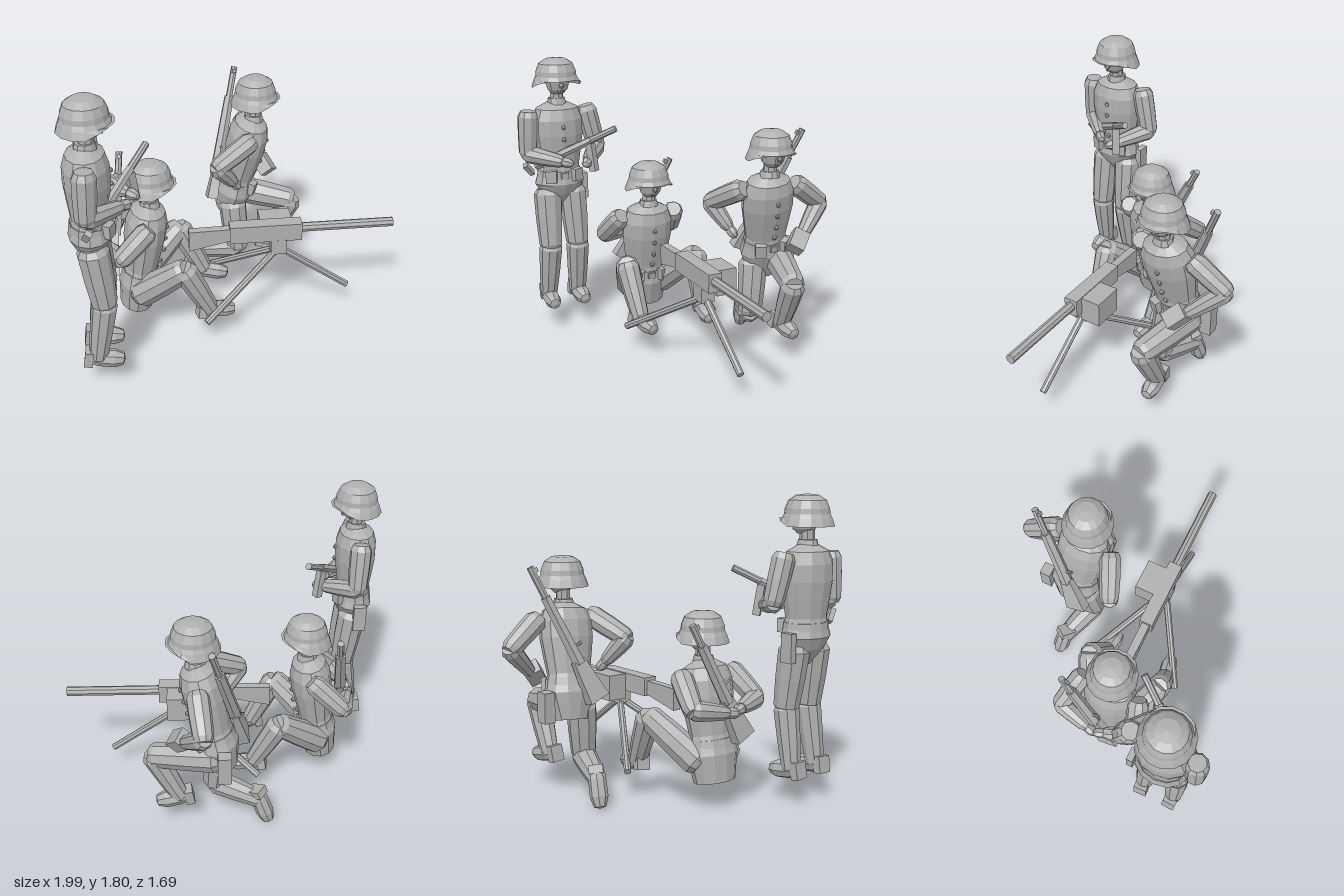
import * as THREE from 'three';

const clay = new THREE.MeshStandardMaterial({ color: 0xb0b0b0, flatShading: true, side: THREE.DoubleSide });
clay.name = 'clay grey';

const V = (p) => new THREE.Vector3(...p);
const UP = new THREE.Vector3(0, 1, 0);

function add(parent, name, geometry, pos = [0, 0, 0], rot = [0, 0, 0]) {
  const m = new THREE.Mesh(geometry, clay);
  m.name = name;
  m.position.set(...pos);
  m.rotation.set(...rot);
  parent.add(m);
  return m;
}
const box = (w, h, d) => new THREE.BoxGeometry(w, h, d);
const rod = (r0, r1, h, n = 8) => new THREE.CylinderGeometry(r1, r0, h, n);
const lathe = (pts, n) => new THREE.LatheGeometry(pts.map((p) => new THREE.Vector2(...p)), n);

// Put an object's base at a with its y axis pointing to b
function aim(obj, a, b) {
  obj.position.copy(V(a));
  obj.quaternion.setFromUnitVectors(UP, V(b).sub(V(a)).normalize());
  return obj;
}

// Tapered limb with bevelled ends from a to b
function limb(parent, name, a, b, r0, r1, n = 9) {
  const L = V(a).distanceTo(V(b)) + 0.04;
  const g = lathe([[0, 0], [r0 * 0.75, 0], [r0, 0.035], [(r0 + r1) * 0.52, L * 0.5],
    [r1, L - 0.03], [r1 * 0.75, L], [0, L]], n);
  g.translate(0, -0.02, 0);
  return aim(add(parent, name, g), a, b);
}

// Plain straight bar from a to b
function bar(parent, name, a, b, r) {
  const L = V(a).distanceTo(V(b));
  return aim(add(parent, name, rod(r, r, L).translate(0, L / 2, 0)), a, b);
}

// Head with flared helmet, origin at the base of the neck, facing +x
function makeHead([x, y, z]) {
  const g = new THREE.Group();
  g.name = 'head';
  g.position.set(x + 0.015, y, z);
  add(g, 'collar', rod(0.065, 0.055, 0.04, 10), [-0.01, 0.005, 0]);
  add(g, 'neck', rod(0.045, 0.042, 0.12, 8), [-0.005, 0.04, 0]);
  const face = lathe([[0, 0.055], [0.04, 0.058], [0.066, 0.085], [0.08, 0.13], [0.082, 0.18], [0, 0.24]], 10);
  add(g, 'face', face.scale(1.05, 1, 0.98), [0.018, 0, 0]);
  add(g, 'nose', new THREE.SphereGeometry(0.017, 6, 4), [0.103, 0.115, 0]);
  add(g, 'mouth', box(0.012, 0.008, 0.04), [0.084, 0.08, 0]);
  const shell = lathe([[0.158, 0.1], [0.142, 0.145], [0.13, 0.17], [0.127, 0.2], [0.108, 0.247], [0.065, 0.275], [0, 0.283]], 14);
  const p = shell.attributes.position;
  for (let i = 0; i < p.count; i++) {
    // Lift the rim at the brow
    if (p.getY(i) < 0.12 && p.getX(i) > 0.02) p.setY(i, 0.1 + 0.045 * Math.min(1, p.getX(i) / 0.11));
  }
  add(g, 'helmet', shell);
  return g;
}

// Torso from crotch to neck, with belt, pouches and buttons
function makeTorso(bottom, neck, seat) {
  const g = new THREE.Group();
  g.name = 'torso';
  const H = V(bottom).distanceTo(V(neck));
  const k = H / 0.69;
  const prof = [[0, 0], [seat, 0], [seat * 0.3 + 0.11, 0.09], [0.165, 0.16], [0.148, 0.22], [0.137, 0.27],
    [0.155, 0.38], [0.17, 0.48], [0.168, 0.58], [0.14, 0.65], [0.06, 0.69], [0, 0.69]];
  add(g, 'tunic', lathe(prof, 12).scale(0.76, k, 1));
  add(g, 'belt', rod(0.152, 0.146, 0.05, 12).scale(0.78, 1, 1), [0, 0.22 * k, 0]);
  add(g, 'buckle', box(0.02, 0.04, 0.05), [0.115, 0.22 * k, 0]);
  for (const s of [-1, 1]) add(g, 'beltPouch', box(0.05, 0.08, 0.07), [0.1, 0.22 * k, s * 0.085], [0, -s * 0.45, 0]);
  [0.3, 0.38, 0.46, 0.54].forEach((y) =>
    add(g, 'button', new THREE.SphereGeometry(0.016, 6, 4), [y < 0.35 ? 0.112 : 0.128, y * k, 0]));
  return aim(g, bottom, neck);
}

function makeArm(parent, side, [shoulder, elbow, hand]) {
  const g = new THREE.Group();
  g.name = side + 'Arm';
  limb(g, 'upperArm', shoulder, elbow, 0.068, 0.06);
  limb(g, 'forearm', elbow, hand, 0.06, 0.043);
  const d = V(hand).sub(V(elbow)).normalize().multiplyScalar(0.045);
  const tip = V(hand).add(d);
  const palm = add(g, 'hand', new THREE.SphereGeometry(0.038, 7, 5).scale(0.9, 1.25, 0.9));
  aim(palm, tip.toArray(), tip.clone().add(d).toArray());
  parent.add(g);
}

function makeLeg(parent, side, [hip, knee, ankle, toe]) {
  const g = new THREE.Group();
  g.name = side + 'Leg';
  limb(g, 'thigh', hip, knee, 0.092, 0.076);
  limb(g, 'shin', knee, ankle, 0.076, 0.056);
  // Boot: a rounded foot with a heel block behind it
  const foot = new THREE.Group();
  foot.name = 'boot';
  const L = V(ankle).distanceTo(V(toe));
  add(foot, 'bootUpper', lathe([[0, -0.05], [0.04, -0.05], [0.052, 0], [0.054, L * 0.6], [0.036, L - 0.01], [0, L]], 8));
  add(foot, 'heel', box(0.1, 0.05, 0.085), [0, -0.055, 0]);
  g.add(aim(foot, ankle, toe));
  parent.add(g);
}

// Rifle built along y, butt at the origin
function makeRifle(butt, muzzle) {
  const g = new THREE.Group();
  g.name = 'rifle';
  const L = V(butt).distanceTo(V(muzzle));
  add(g, 'stock', rod(0.08, 0.045, 0.26, 4).rotateY(Math.PI / 4).scale(0.6, 1, 1.2), [0, 0.13, 0]);
  add(g, 'foreStock', rod(0.039, 0.032, L * 0.5, 6), [0, 0.24 + L * 0.25, 0]);
  add(g, 'barrel', rod(0.022, 0.021, L - 0.3, 7), [0, (L + 0.3) / 2, 0]);
  add(g, 'frontSight', box(0.02, 0.025, 0.05), [0, L - 0.03, 0.01]);
  add(g, 'bolt', rod(0.009, 0.009, 0.07, 6), [0, 0.34, 0.04], [Math.PI / 2, 0, 0]);
  return aim(g, butt, muzzle);
}

function makeSoldier(name, o) {
  const g = new THREE.Group();
  g.name = name;
  g.add(makeTorso(o.bottom, o.neck, o.seat), makeHead(o.neck));
  makeArm(g, 'left', o.leftArm);
  makeArm(g, 'right', o.rightArm);
  makeLeg(g, 'left', o.leftLeg);
  makeLeg(g, 'right', o.rightLeg);
  if (o.rifle) g.add(makeRifle(...o.rifle));
  if (o.hipCase) add(g, 'hipCase', box(...o.hipCase.size), o.hipCase.at);
  return g;
}

function makeMachineGun() {
  const g = new THREE.Group();
  g.name = 'machineGun';
  const z = 0.09;
  add(g, 'receiver', box(0.45, 0.115, 0.088), [0.193, 0.613, z]);
  add(g, 'barrel', rod(0.03, 0.03, 0.6, 8), [0.7, 0.622, z], [0, 0, Math.PI / 2]);
  const s = new THREE.Shape([[-0.03, 0.65], [-0.285, 0.645], [-0.285, 0.51], [-0.03, 0.565]].map((p) => new THREE.Vector2(...p)));
  add(g, 'shoulderStock', new THREE.ExtrudeGeometry(s, { depth: 0.052, bevelEnabled: false }), [0, 0, z - 0.026]);
  add(g, 'ammoBox', box(0.2, 0.16, 0.13), [0.265, 0.585, -0.014]);
  add(g, 'mount', box(0.1, 0.1, 0.09), [0.275, 0.51, z]);
  const apex = [0.28, 0.485, z];
  [[0.73, 0.165, z], [-0.205, 0.165, 0.395], [-0.205, 0.165, -0.22]].forEach((e) => bar(g, 'tripodLeg', apex, e, 0.022));
  return g;
}

// Short gun held across the chest
function makeCarbine(butt, muzzle) {
  const g = new THREE.Group();
  g.name = 'shortGun';
  const L = V(butt).distanceTo(V(muzzle));
  add(g, 'body', rod(0.028, 0.026, L * 0.62, 6), [0, L * 0.42, 0]);
  add(g, 'barrel', rod(0.021, 0.021, L * 0.4, 8), [0, L * 0.8, 0]);
  add(g, 'buttPlate', box(0.04, 0.03, 0.09), [0, 0.02, 0]);
  return aim(g, butt, muzzle);
}

export function createModel() {
  const model = new THREE.Group();
  model.name = 'gunCrew';

  const standing = makeSoldier('standingSoldier', {
    bottom: [-0.85, 0.83, 0.585], neck: [-0.847, 1.52, 0.585], seat: 0.04,
    leftArm: [[-0.85, 1.45, 0.775], [-0.86, 1.19, 0.785], [-0.69, 1.16, 0.625]],
    rightArm: [[-0.85, 1.46, 0.385], [-0.835, 1.2, 0.325], [-0.65, 1.16, 0.45]],
    leftLeg: [[-0.845, 0.93, 0.67], [-0.8, 0.57, 0.678], [-0.858, 0.205, 0.69], [-0.705, 0.182, 0.695]],
    rightLeg: [[-0.845, 0.93, 0.5], [-0.8, 0.57, 0.492], [-0.858, 0.205, 0.485], [-0.705, 0.182, 0.48]],
    hipCase: { size: [0.08, 0.17, 0.04], at: [-0.88, 0.94, 0.41] },
  });
  standing.add(makeCarbine([-0.87, 1.08, 0.8], [-0.52, 1.375, 0.31]));
  add(standing, 'magazine', box(0.045, 0.18, 0.045), [-0.61, 1.185, 0.44], [0, 0.6, 0.15]);

  const sitting = makeSoldier('sittingSoldier', {
    bottom: [-0.625, 0.16, 0.095], neck: [-0.52, 0.86, 0.095], seat: 0.135,
    leftArm: [[-0.54, 0.78, 0.285], [-0.7, 0.63, 0.34], [-0.76, 0.61, 0.18]],
    rightArm: [[-0.54, 0.78, -0.095], [-0.72, 0.63, -0.16], [-0.77, 0.6, 0.03]],
    leftLeg: [[-0.6, 0.28, 0.2], [-0.33, 0.52, 0.33], [-0.175, 0.21, 0.31], [-0.02, 0.182, 0.285]],
    rightLeg: [[-0.6, 0.28, -0.01], [-0.33, 0.52, -0.16], [-0.175, 0.21, -0.125], [-0.02, 0.182, -0.105]],
    rifle: [[-0.755, 0.43, 0.19], [-0.68, 1.1, -0.14]],
  });

  const kneeling = makeSoldier('kneelingSoldier', {
    bottom: [0.02, 0.48, -0.465], neck: [0.175, 1.155, -0.405], seat: 0.11,
    leftArm: [[0.14, 1.07, -0.235], [-0.08, 0.95, -0.135], [0.02, 0.81, -0.205]],
    rightArm: [[0.17, 1.07, -0.6], [0.14, 0.92, -0.8], [0.24, 0.76, -0.62]],
    leftLeg: [[0.04, 0.56, -0.38], [0.07, 0.23, -0.345], [-0.2, 0.165, -0.44], [-0.26, 0.005, -0.46]],
    rightLeg: [[0.06, 0.58, -0.54], [0.44, 0.52, -0.43], [0.285, 0.21, -0.45], [0.435, 0.182, -0.46]],
    rifle: [[-0.1, 0.61, -0.36], [0.09, 1.39, -0.69]],
    hipCase: { size: [0.08, 0.18, 0.07], at: [0.02, 0.58, -0.64] },
  });
  const heldBox = add(kneeling, 'heldBox', box(0.1, 0.13, 0.09));
  aim(heldBox, [0.275, 0.73, -0.56], [0.345, 0.63, -0.46]);

  model.add(standing, sitting, kneeling, makeMachineGun());
  return model;
}
